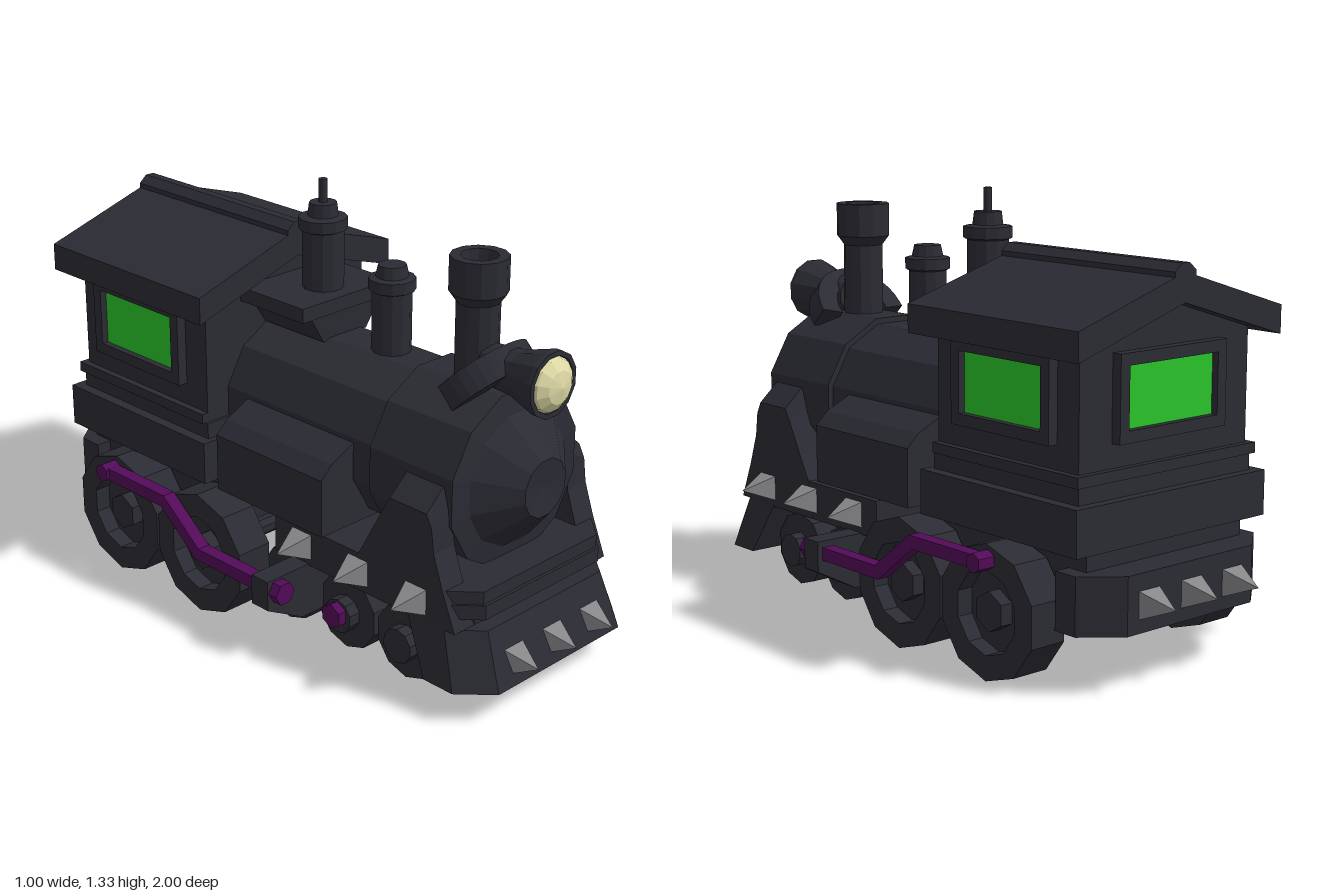
import * as THREE from 'three';
import { ConvexGeometry } from 'three/addons/geometries/ConvexGeometry.js';

const mat = (name, color) => {
  const m = new THREE.MeshStandardMaterial({ color });
  m.name = name;
  return m;
};

export function createModel() {
  const model = new THREE.Group();
  model.name = 'steamLocomotive';
  const iron = mat('darkIron', 0x2b2b34);
  const purple = mat('purpleMetal', 0x530a58);
  const glass = mat('greenGlass', 0x2ac62a);
  const steel = mat('greySteel', 0x87878a);
  const lamp = mat('lampYellow', 0xdfdaa6);

  // Adds a faceted mesh
  const add = (name, geo, material = iron, x = 0, y = 0, z = 0) => {
    const g = geo.index ? geo.toNonIndexed() : geo;
    g.computeVertexNormals();
    const m = new THREE.Mesh(g, material);
    m.name = name;
    m.position.set(x, y, z);
    model.add(m);
    return m;
  };
  // Box given by its limits
  const box = (name, x0, x1, y0, y1, z0, z1) =>
    add(name, new THREE.BoxGeometry(x1 - x0, y1 - y0, z1 - z0), iron, (x0 + x1) / 2, (y0 + y1) / 2, (z0 + z1) / 2);
  // Turned solid from [radius, height] points, flat side up once laid down
  const turned = (pts, sides) =>
    new THREE.LatheGeometry(pts.map(p => new THREE.Vector2(...p)), sides, Math.PI / sides);
  const shapeOf = pts => new THREE.Shape(pts.map(p => new THREE.Vector2(...p)));
  const extrude = (shape, depth) =>
    new THREE.ExtrudeGeometry(shape, { depth, bevelEnabled: false, curveSegments: 8 });
  // Side outline in [z, y], centred on its thickness in x
  const sidePlate = (pts, w) => extrude(shapeOf(pts), w).rotateY(-Math.PI / 2).translate(w / 2, 0, 0);
  // Convex solid between mirrored plans of [x, z] at two heights
  const loft = (y0, plan0, y1, plan1 = plan0) => {
    const pts = [];
    for (const [y, plan] of [[y0, plan0], [y1, plan1]])
      for (const [x, z] of plan) for (const s of [-1, 1]) pts.push(new THREE.Vector3(s * x, y, z));
    return new ConvexGeometry(pts);
  };
  // Square spike whose base sits on the origin, pointing up
  const spike = h => new THREE.ConeGeometry(0.057, h, 4, 1).rotateY(Math.PI / 4).translate(0, h / 2, 0);
  // Window frame with an opening, facing +z
  const frame = (w, h, border, depth) => {
    const rect = (a, b) => [[-a, -b], [a, -b], [a, b], [-a, b]];
    const s = shapeOf(rect(w / 2, h / 2));
    s.holes.push(shapeOf(rect(w / 2 - border, h / 2 - border)));
    return extrude(s, depth);
  };

  // Boiler, smokebox and conical nose
  add('boiler', turned([[0, -0.22], [0.257, -0.22], [0.257, 0.44], [0, 0.44]], 12).rotateX(Math.PI / 2), iron, 0, 0.61, 0);
  add('smokebox', turned([[0, 0.43], [0.276, 0.43], [0.276, 0.748], [0.21, 0.757], [0.09, 0.86], [0, 0.85]], 12)
    .rotateX(Math.PI / 2), iron, 0, 0.61, 0);

  // Chimney and domes
  add('chimney', turned([[0, 0.8], [0.064, 0.8], [0.064, 1.1], [0.086, 1.13], [0.086, 1.235],
    [0.055, 1.235], [0.045, 1.15], [0, 1.15]], 12), iron, 0, 0, 0.59);
  add('sandDome', turned([[0, 0.8], [0.06, 0.8], [0.06, 1.045], [0.071, 1.05], [0.071, 1.085], [0.05, 1.09],
    [0.042, 1.125], [0, 1.125]], 12), iron, 0, 0, 0.255);
  add('steamDome', turned([[0, 0.95], [0.064, 0.95], [0.064, 1.165], [0.075, 1.17], [0.075, 1.205], [0.047, 1.21],
    [0.042, 1.25], [0.013, 1.25], [0.013, 1.322], [0, 1.322]], 12), iron, 0, 0, -0.035);
  add('domeBase', loft(0.85, [[0.09, 0.06], [0.09, -0.22]], 0.945, [[0.15, 0.065], [0.15, -0.22]]));
  box('domeBaseTop', -0.19, 0.19, 0.94, 0.985, -0.22, 0.075);

  // Headlight with its arched bracket
  add('headlight', turned([[0, 0.64], [0.06, 0.64], [0.07, 0.757], [0.1, 0.855], [0.1, 0.87], [0.085, 0.87],
    [0.083, 0.85], [0, 0.85]], 12).rotateX(Math.PI / 2), iron, 0, 0.926, 0);
  add('headlightLens', turned([[0.084, 0.858], [0.078, 0.875], [0.05, 0.895], [0, 0.905]], 12)
    .rotateX(Math.PI / 2), lamp, 0, 0.926, 0);
  const arch = new THREE.Shape();
  arch.moveTo(0.157, -0.02);
  arch.absarc(0, 0, 0.157, 0, Math.PI, false);
  arch.lineTo(-0.157, -0.02);
  arch.lineTo(-0.09, -0.02);
  arch.absarc(0, 0, 0.09, Math.PI, 0, true);
  arch.lineTo(0.09, -0.02);
  add('headlightBracket', extrude(arch, 0.08).translate(0, 0, -0.04).rotateX(Math.PI / 4), iron, 0, 0.868, 0.628);

  // Cab walls, base mouldings and gable roof
  add('cabWalls', extrude(shapeOf([[-0.333, 0.5], [0.333, 0.5], [0.333, 0.98], [0, 1.08], [-0.333, 0.98]]), 0.59),
    iron, 0, 0, -0.79);
  box('cabBase', -0.377, 0.377, 0.395, 0.53, -0.83, -0.17);
  box('cabLowerBand', -0.342, 0.342, 0.53, 0.58, -0.8, -0.19);
  box('cabUpperBand', -0.355, 0.355, 0.58, 0.612, -0.81, -0.2);
  add('roof', extrude(shapeOf([[-0.4, 0.93], [0, 1.055], [0.4, 0.93], [0.4, 1.015], [0, 1.14], [-0.4, 1.015]]), 0.71),
    iron, 0, 0, -0.855);
  add('roofRidge', extrude(shapeOf([[-0.042, 1.11], [0.042, 1.11], [0.042, 1.142], [0.015, 1.165], [-0.015, 1.165], [-0.042, 1.142]]), 0.71),
    iron, 0, 0, -0.855);

  // Cab windows
  const cabWindow = (side, w, x, z, turn) => {
    add(side + 'WindowFrame', frame(w, 0.25, 0.035, 0.032), iron, x, 0.807, z).rotation.y = turn;
    const pane = add(side + 'Window', new THREE.BoxGeometry(w - 0.07, 0.18, 0.008).translate(0, 0, 0.006), glass, x, 0.807, z);
    pane.rotation.y = turn;
  };
  cabWindow('left', 0.41, 0.333, -0.5, Math.PI / 2);
  cabWindow('right', 0.41, -0.333, -0.5, -Math.PI / 2);
  cabWindow('rear', 0.42, 0, -0.79, Math.PI);

  // Frame, buffer beams and cowcatcher
  box('frontFrame', -0.333, 0.333, 0.255, 0.375, 0.1, 0.78);
  box('frontUnderbody', -0.19, 0.19, 0.1, 0.26, 0.12, 0.72);
  box('rearFrame', -0.31, 0.31, 0.19, 0.4, -0.8, -0.18);
  add('rearBeam', loft(0.17, [[0.36, -0.73], [0.36, -0.81], [0.25, -0.9]], 0.34));
  const beam = z => [[0.333, 0.74], [0.333, z - 0.09], [0.25, z]];
  add('frontBeamFoot', loft(0.255, beam(0.83), 0.29));
  add('frontBeamLower', loft(0.29, beam(0.87), 0.335));
  add('frontBeamUpper', loft(0.335, beam(0.86), 0.375));
  add('cowcatcher', loft(0.09, [[0.36, 0.74], [0.36, 0.85], [0.27, 0.945]], 0.26, [[0.333, 0.65], [0.333, 0.79], [0.25, 0.88]]));
  add('crossBeam', extrude(shapeOf([[-0.36, 0.09], [0.36, 0.09], [0.5, 0.165], [0.5, 0.26], [-0.5, 0.26], [-0.5, 0.165]]), 0.07),
    iron, 0, 0, 0.175);

  // Spikes on both beams
  for (const x of [-0.167, 0, 0.167]) {
    add('frontSpike', spike(0.095).rotateX(Math.PI / 2), steel, x, 0.152, 0.905);
    add('rearSpike', spike(0.1).rotateX(-Math.PI / 2), steel, x, 0.25, -0.9);
  }

  // Paired side parts
  for (const s of [-1, 1]) {
    const side = s > 0 ? 'left' : 'right';
    const axial = (pts, sides) => turned(pts, sides).rotateZ(-s * Math.PI / 2);
    // Water tank with sloping top
    add(side + 'Tank', extrude(shapeOf([[s * 0.1, 0.4], [s * 0.377, 0.4], [s * 0.377, 0.58], [s * 0.335, 0.62], [s * 0.22, 0.675], [s * 0.1, 0.675]]), 0.455),
      iron, 0, 0, -0.11);
    // Curved fender beside the smokebox, its top falling away outwards
    const fender = sidePlate([[0.43, 0.26], [0.83, 0.26], [0.78, 0.38], [0.745, 0.48], [0.735, 0.6], [0.715, 0.67],
      [0.575, 0.67], [0.545, 0.58], [0.5, 0.46], [0.45, 0.37]], 0.085);
    const p = fender.attributes.position;
    for (let i = 0; i < p.count; i++)
      if (p.getX(i) * s > 0 && p.getY(i) > 0.5) p.setY(i, 0.5 + (p.getY(i) - 0.5) * 0.55);
    add(side + 'Fender', fender, iron, s * 0.291);
    for (const z of [0.68, 0.45, 0.215])
      add(side + 'Spike', spike(0.102).rotateZ(-s * Math.PI / 2), steel, s * 0.333, 0.318, z);
    // Driving wheels with recessed faces and six-sided hubs
    for (const z of [-0.14, -0.53]) {
      add(side + 'DrivingWheel', axial([[0, 0.315], [0.2, 0.315], [0.2, 0.437], [0.125, 0.437], [0.125, 0.385], [0, 0.385]], 10),
        iron, 0, 0.19, z);
      add(side + 'DrivingHub', axial([[0, 0.38], [0.06, 0.38], [0.06, 0.425], [0, 0.425]], 6), iron, 0, 0.19, z);
    }
    // Leading wheels, two of them with coloured hubs
    for (const z of [0.095, 0.345, 0.59])
      add(side + 'LeadingWheel', axial([[0, 0.19], [0.12, 0.19], [0.12, 0.272], [0.055, 0.272], [0.055, 0.312], [0, 0.312]], 10),
        iron, 0, 0.115, z);
    for (const z of [0.095, 0.345])
      add(side + 'WheelHub', axial([[0, 0.3], [0.04, 0.3], [0.04, 0.34], [0, 0.34]], 6), purple, 0, 0.125, z);
    // Cranked coupling rod
    add(side + 'CouplingRod', sidePlate([[0.26, 0.2], [-0.1, 0.2], [-0.26, 0.325], [-0.55, 0.325],
      [-0.55, 0.365], [-0.245, 0.365], [-0.085, 0.24], [0.26, 0.24]], 0.042), purple, s * 0.462);
    add(side + 'RodEnd', axial([[0, 0.43], [0.03, 0.43], [0.03, 0.493], [0, 0.493]], 6), purple, 0, 0.345, -0.54);
    add(side + 'RodHead', turned([[0, 0.245], [0.037, 0.245], [0.037, 0.278], [0, 0.278]], 6)
      .rotateX(Math.PI / 2), purple, s * 0.46, 0.22, 0);
  }

  // Driving axles
  for (const z of [-0.14, -0.53])
    add('axle', turned([[0.03, -0.32], [0.03, 0.32]], 8).rotateZ(Math.PI / 2), iron, 0, 0.19, z);

  return model;
}
